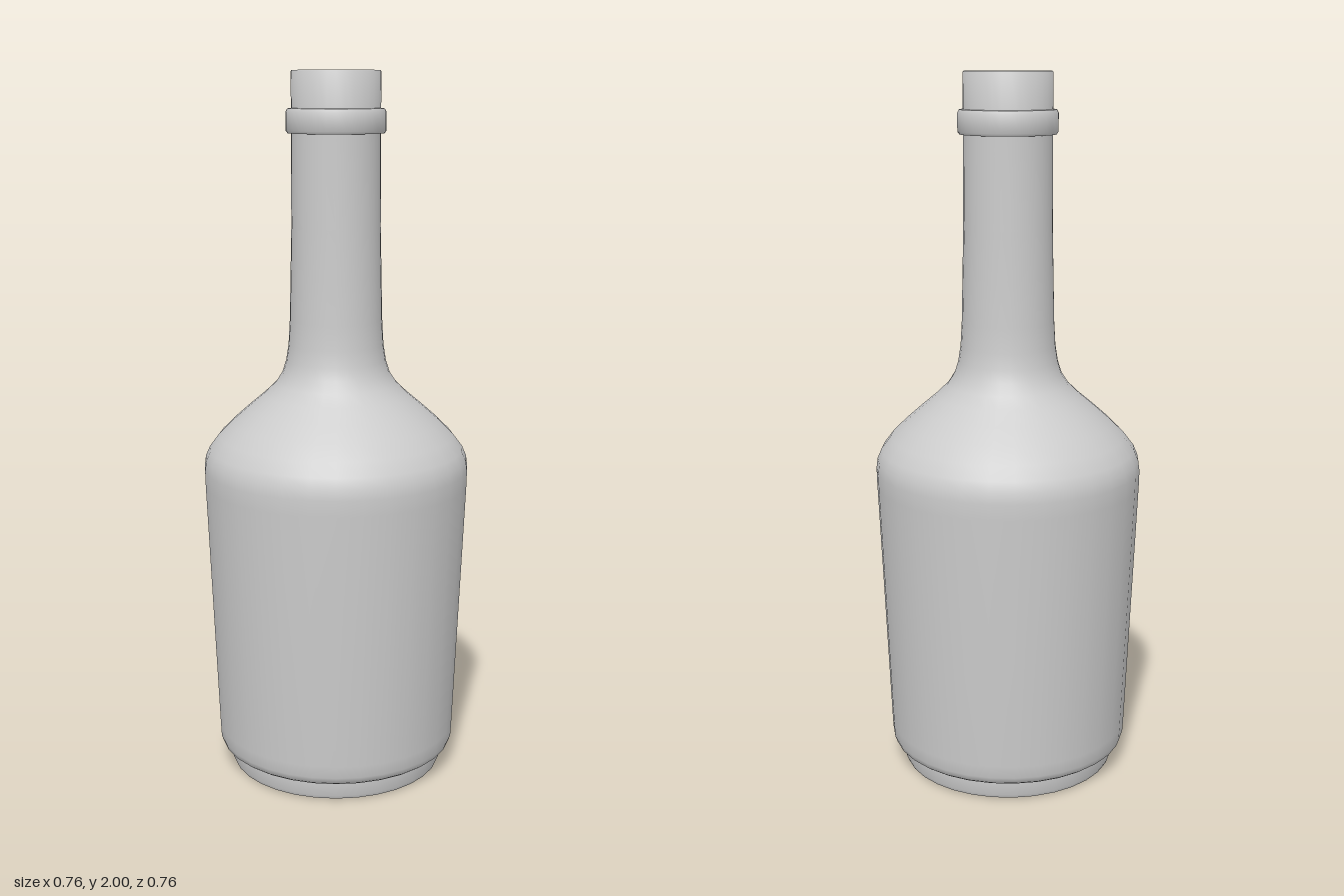
import * as THREE from 'three';
import { toCreasedNormals } from 'three/addons/utils/BufferGeometryUtils.js';

const SIDES = 32;
const material = new THREE.MeshStandardMaterial({ color: 0xcccccc, side: THREE.DoubleSide });

// Revolves a [radius, height] profile around the bottle's axis.
function turned(name, profile) {
  const points = profile.map(([r, y]) => new THREE.Vector2(r, y));
  const geometry = toCreasedNormals(new THREE.LatheGeometry(points, SIDES), 0.7);
  const mesh = new THREE.Mesh(geometry, material);
  mesh.name = name;
  return mesh;
}

export function createModel() {
  const bottle = new THREE.Group();
  bottle.name = 'bottle';

  // Stepped foot with a flat underside
  bottle.add(turned('foot', [
    [0, 0.005], [0.28, 0.005], [0.295, 0], [0.305, 0.004], [0.31, 0.015], [0.31, 0.055],
  ]));

  // Tapered body, rounded shoulder and long neck
  const outside = [
    [0.31, 0.055], [0.328, 0.06], [0.339, 0.068], [0.345, 0.085], [0.347, 0.12],
    [0.377, 0.85], [0.378, 0.895], [0.374, 0.925], [0.362, 0.953], [0.334, 0.99],
    [0.295, 1.029], [0.25, 1.069], [0.205, 1.107], [0.172, 1.139], [0.152, 1.17],
    [0.141, 1.205], [0.134, 1.25], [0.13, 1.32], [0.127, 1.45], [0.124, 1.58], [0.123, 1.84],
  ];
  bottle.add(turned('bodyAndNeck', outside));

  // Raised ring below the mouth
  bottle.add(turned('collar', [
    [0.123, 1.833], [0.133, 1.833], [0.138, 1.84], [0.138, 1.89], [0.133, 1.899], [0.123, 1.9],
  ]));

  // Open mouth with a thin rim
  bottle.add(turned('mouth', [
    [0.123, 1.84], [0.123, 1.997], [0.121, 2], [0.117, 2], [0.117, 1.95],
  ]));

  // Hollow inside, following the outer wall down to a flat floor
  const inside = outside.slice(4, -1).reverse().map(([r, y]) => [r - 0.006, y]);
  bottle.add(turned('innerWall', [
    [0.117, 1.95], ...inside, [0.335, 0.085], [0.3, 0.065], [0, 0.06],
  ]));

  return bottle;
}
